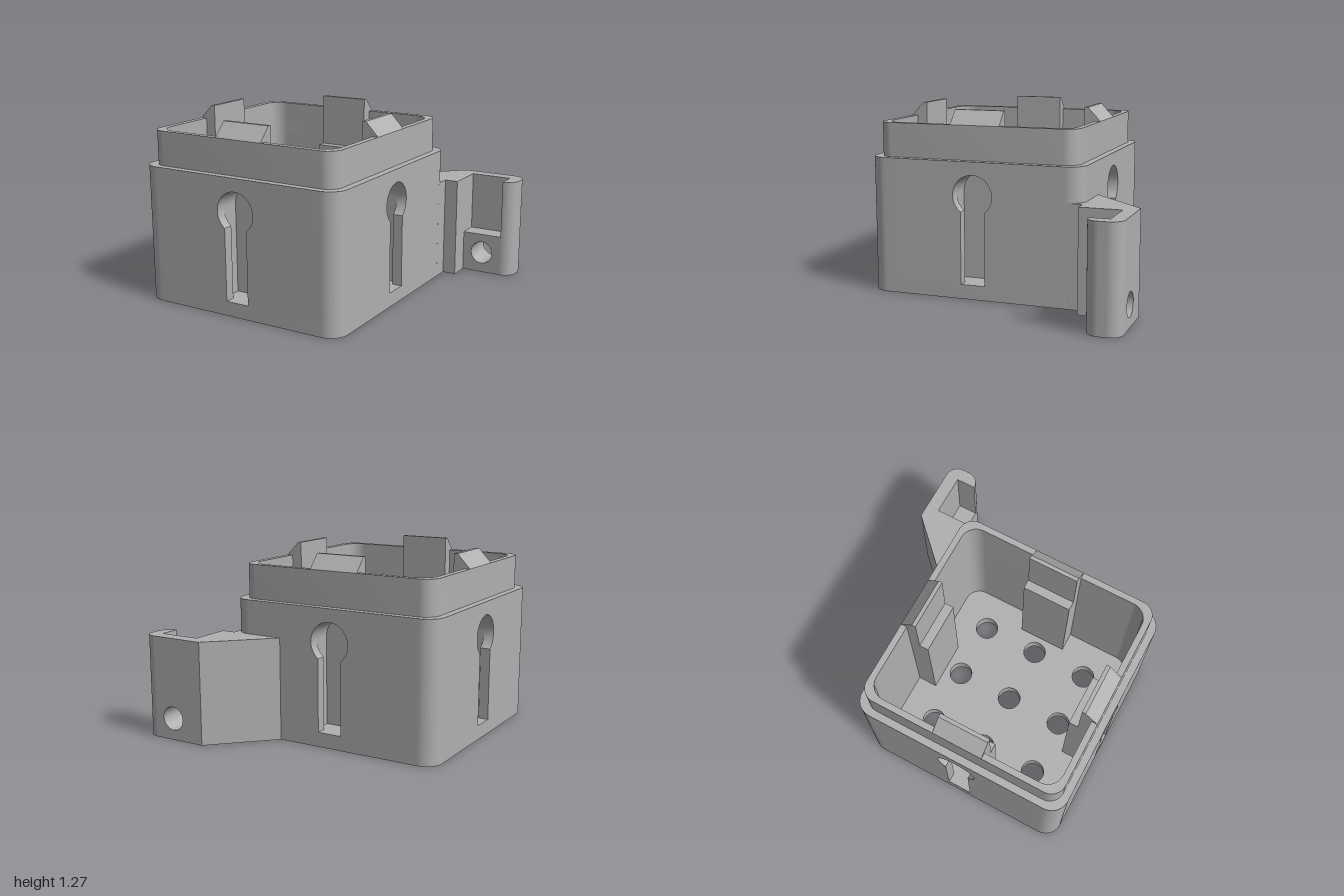
import * as THREE from 'three';
import { toCreasedNormals } from 'three/addons/utils/BufferGeometryUtils.js';

const H = 0.7625;        // half width of the body
const INNER = 0.67;      // half width of the cavity
const CX = -0.2375, CZ = 0.19; // body centre
const FLOOR = 0.09, SHOULDER = 0.94, RIM = 1.175, BLOCK_TOP = 0.91;

const grey = new THREE.MeshStandardMaterial({ color: 0xb0b0b0 });
grey.name = 'grey plastic';

function mesh(name, geometry) {
  const m = new THREE.Mesh(toCreasedNormals(geometry, 0.6), grey);
  m.name = name;
  return m;
}

function extrude(shape, depth) {
  return new THREE.ExtrudeGeometry(shape, { depth, bevelEnabled: false, curveSegments: 12 });
}

// Plan shape drawn in (x, z), raised from y0 to y1
function slab(name, shape, y0, y1) {
  return mesh(name, extrude(shape, y1 - y0).rotateX(Math.PI / 2).translate(0, y1, 0));
}

// Elevation shape drawn in (x, y), running from z0 to z1
function panel(name, shape, z0, z1) {
  return mesh(name, extrude(shape, z1 - z0).translate(0, 0, z0));
}

function polygon(points) {
  return new THREE.Shape(points.map(([x, y]) => new THREE.Vector2(x, y)));
}

function rect(x0, y0, x1, y1) {
  return polygon([[x0, y0], [x1, y0], [x1, y1], [x0, y1]]);
}

function circle(x, y, r) {
  return new THREE.Path().absarc(x, y, r, 0, Math.PI * 2, false);
}

function roundedSquare(h, r) {
  const s = new THREE.Shape();
  const c = h - r;
  [[c, c], [-c, c], [-c, -c], [c, -c]].forEach(([x, y], i) =>
    s.absarc(x, y, r, i * Math.PI / 2, (i + 1) * Math.PI / 2, false));
  s.closePath();
  return s;
}

// Round head over a straight slot of half width w
function keyhole(w) {
  const r = 0.14, a = Math.asin(w / r);
  const p = new THREE.Path();
  p.moveTo(-w, 0.1);
  p.lineTo(w, 0.1);
  p.absarc(0, 0.71, r, a - Math.PI / 2, Math.PI * 1.5 - a, false);
  p.closePath();
  return p;
}

function withHole(shape, ...holes) {
  shape.holes.push(...holes);
  return shape;
}

// One side: keyhole wall, inner pocket housing, snap hook and a corner post
function createSide() {
  const side = new THREE.Group();
  const flat = 0.56, half = 0.175, lip = H - 0.07;
  const wall = () => rect(-flat, FLOOR, flat, SHOULDER);
  const block = () => rect(-half, FLOOR, half, BLOCK_TOP);
  side.add(
    panel('keyholeWall', withHole(wall(), keyhole(0.085)), lip, H),
    panel('innerWall', withHole(wall(), keyhole(0.1399)), INNER, lip),
    panel('pocketHousing', withHole(block(), keyhole(0.1399)), H - 0.195, INNER),
    panel('pocketBack', block(), H - 0.23, H - 0.195),
  );

  const hook = polygon([
    [H - 0.166, BLOCK_TOP], [INNER, BLOCK_TOP], [INNER, RIM],
    [H - 0.05, RIM], [H - 0.14, 1.27], [H - 0.166, 1.27],
  ]);
  side.add(mesh('snapHook', extrude(hook, half * 2).rotateY(-Math.PI / 2).translate(half, 0, 0)));

  const corner = new THREE.Shape();
  corner.moveTo(flat, INNER);
  corner.absarc(INNER - 0.11, INNER - 0.11, 0.11, Math.PI / 2, 0, true);
  corner.lineTo(H, flat);
  corner.absarc(H - 0.12, H - 0.12, 0.12, 0, Math.PI / 2, false);
  corner.lineTo(flat, H);
  side.add(slab('cornerPost', corner, FLOOR, SHOULDER));
  return side;
}

function createBody() {
  const body = new THREE.Group();
  body.name = 'body';

  // Floor with a grid of drain holes
  const floor = roundedSquare(H, 0.12);
  for (let i = -1; i <= 1; i++)
    for (let j = -1; j <= 1; j++) floor.holes.push(circle(i * 0.412, j * 0.412, 0.082));
  body.add(slab('floor', floor, 0, FLOOR));

  // Narrower collar above the shoulder
  const collar = withHole(roundedSquare(H - 0.05, 0.1), roundedSquare(INNER, 0.11));
  body.add(slab('collar', collar, SHOULDER, RIM));

  ['front', 'left', 'back', 'right'].forEach((name, i) => {
    const side = createSide();
    side.name = name + 'Side';
    side.rotation.y = i * Math.PI / 2;
    body.add(side);
  });
  body.position.set(CX, 0, CZ);
  return body;
}

function createBracket() {
  const bracket = new THREE.Group();
  bracket.name = 'bracket';
  const top = 0.705, ledge = 0.29, back = -0.953, front = -0.72;
  const x0 = 0.62, x1 = 0.91, wall = CZ - H;

  // Diagonal arm joining the rear corner of the body
  bracket.add(slab('arm', polygon([
    [0.148, wall], [0.525, back], [x0, back], [x0, wall],
    [0.525, wall], [0.525, -0.46], [0.4, wall],
  ]), 0, top));

  // Drilled foot, thin back and rounded end around the open recess
  bracket.add(panel('drilledFoot',
    withHole(rect(x0, 0, x1, ledge), circle(0.765, 0.15, 0.082)), back, front));
  bracket.add(panel('recessBack', rect(x0, ledge, x1, top), back, -0.86));

  const end = new THREE.Shape();
  const r = 1 - x1;
  end.moveTo(x1, back);
  end.absarc(x1, back + r, r, -Math.PI / 2, 0, false);
  end.absarc(x1, front - r, r, 0, Math.PI / 2, false);
  end.closePath();
  bracket.add(slab('roundedEnd', end, 0, top));
  return bracket;
}

export function createModel() {
  const model = new THREE.Group();
  model.name = 'mountedBox';
  model.add(createBody(), createBracket());
  return model;
}
